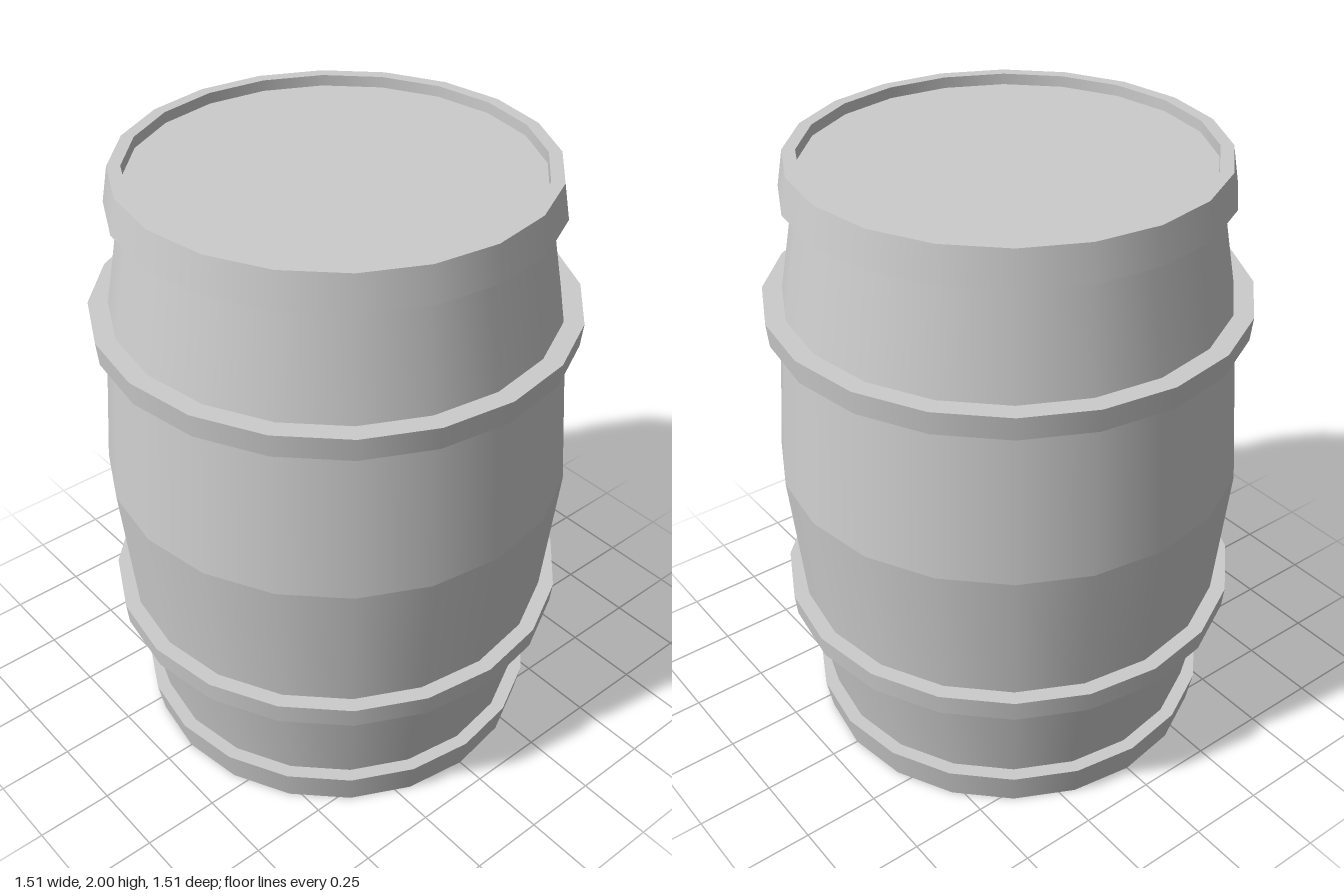
import * as THREE from 'three';
import { mergeGeometries } from 'three/addons/utils/BufferGeometryUtils.js';

const SIDES = 20;
const material = new THREE.MeshStandardMaterial({ color: 0xcccccc });

// Turns a profile of [radius, y] points, smooth around the axis but creased at every profile point.
function turned(name, profile) {
  const strips = [];
  for (let i = 0; i < profile.length - 1; i++) {
    const ends = [profile[i], profile[i + 1]].map(([r, y]) => new THREE.Vector2(r, y));
    strips.push(new THREE.LatheGeometry(ends, SIDES));
  }
  const mesh = new THREE.Mesh(mergeGeometries(strips), material);
  mesh.name = name;
  return mesh;
}

// Closed ring with a sloped outer face.
function hoop(name, y0, y1, outer0, outer1, inner0, inner1) {
  return turned(name, [[inner0, y0], [outer0, y0], [outer1, y1], [inner1, y1], [inner0, y0]]);
}

export function createModel() {
  const barrel = new THREE.Group();
  barrel.name = 'barrel';

  // Bulging staves with the recessed bottom and lid
  barrel.add(turned('body', [
    [0, 0.035], [0.615, 0.035], [0.615, 0.06], [0.63, 0.11], [0.70, 0.49],
    [0.743, 0.98], [0.70, 1.51], [0.63, 1.89], [0.615, 1.94], [0.615, 1.965], [0, 1.965],
  ]));

  // Rim hoops at both ends
  barrel.add(hoop('bottomRim', 0, 0.11, 0.655, 0.675, 0.615, 0.615));
  barrel.add(hoop('topRim', 1.89, 2, 0.675, 0.655, 0.615, 0.615));

  // Wider hoops around the staves
  barrel.add(hoop('lowerHoop', 0.45, 0.523, 0.746, 0.753, 0.68, 0.68));
  barrel.add(hoop('upperHoop', 1.48, 1.555, 0.746, 0.753, 0.68, 0.68));

  return barrel;
}
